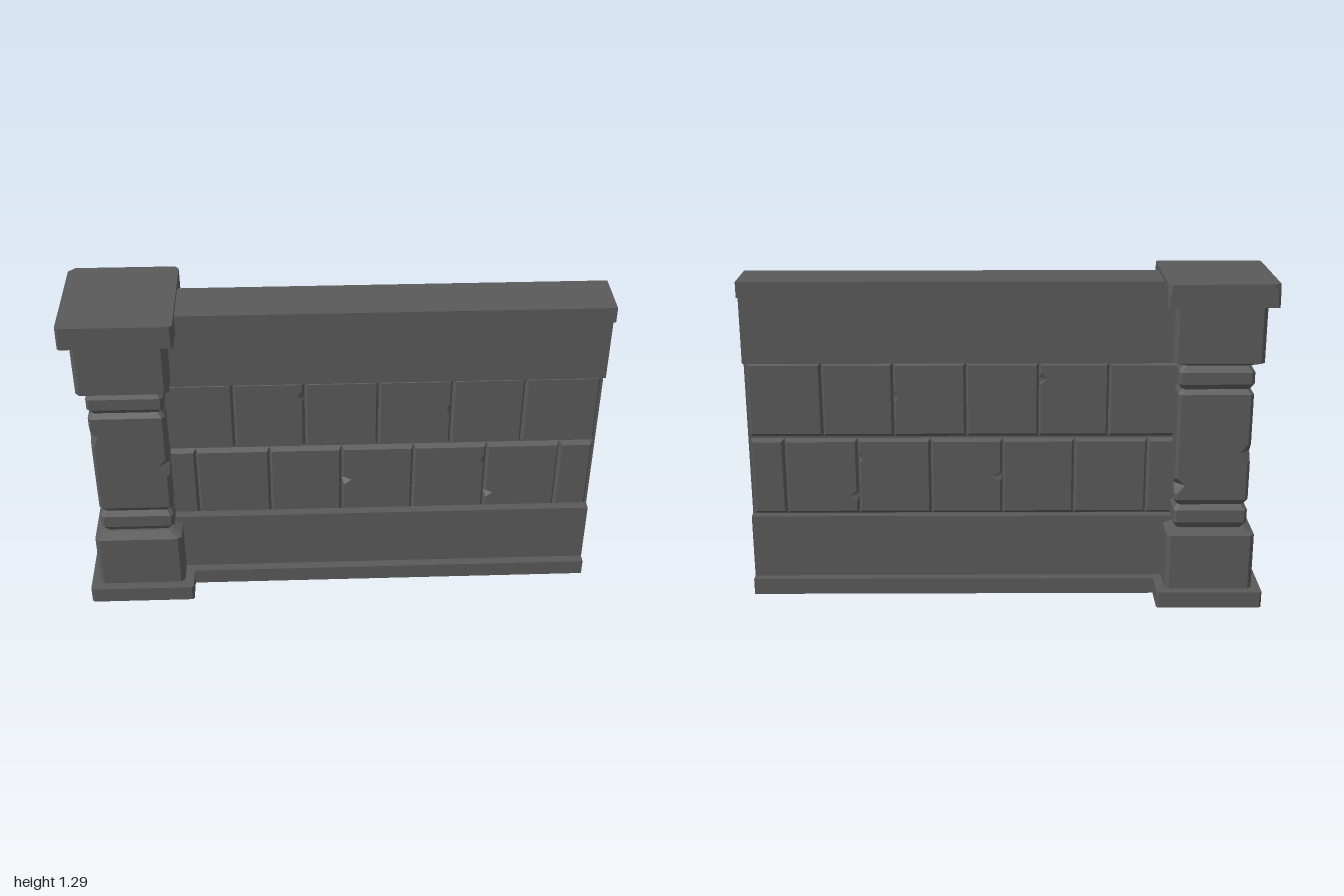
import * as THREE from 'three';

const WALL_Z = 0.018, WALL_LEFT = -0.7, PILLAR_X = -0.795;

// Flat-shaded geometry from a list of triangles (each three Vector3)
function facets(tris) {
  const g = new THREE.BufferGeometry().setFromPoints(tris.flat());
  g.computeVertexNormals();
  return g;
}

// Rectangular rings with cut corners, joined upward and closed at both ends.
// Section: [y, half width, half depth, corner cuts (one or four)]
// Corner order: front right (+x+z), back right, back left, front left
function loft(sections) {
  const rings = sections.map(([y, hx, hz, cut]) => {
    const c = Array.isArray(cut) ? cut : [cut, cut, cut, cut];
    const p = (x, z) => new THREE.Vector3(x, y, z);
    return [
      p(hx - c[0], hz), p(hx, hz - c[0]), p(hx, -hz + c[1]), p(hx - c[1], -hz),
      p(-hx + c[2], -hz), p(-hx, -hz + c[2]), p(-hx, hz - c[3]), p(-hx + c[3], hz),
    ];
  });
  const tris = [];
  for (let r = 0; r + 1 < rings.length; r++) {
    const a = rings[r], b = rings[r + 1];
    for (let i = 0; i < 8; i++) {
      const j = (i + 1) % 8;
      tris.push([a[i], a[j], b[j]], [a[i], b[j], b[i]]);
    }
  }
  const lo = rings[0], hi = rings[rings.length - 1];
  for (let i = 1; i < 7; i++) {
    tris.push([lo[0], lo[i + 1], lo[i]], [hi[0], hi[i], hi[i + 1]]);
  }
  return facets(tris);
}

// Bevelled brick face; chip = [side (-1 left, 1 right), y, depth]; s = 1 front, -1 back
function brick(x0, x1, y0, y1, s, chip) {
  const V = (x, y) => new THREE.Vector2(x, y);
  const b = 0.01, low = 0.016;
  const outer = [V(x0, y0), V(x1, y0), V(x1, y1), V(x0, y1)];
  const inner = [V(x0 + b, y0 + low), V(x1 - b, y0 + low), V(x1 - b, y1 - b), V(x0 + b, y1 - b)];
  if (chip) {
    const [side, y, depth] = chip, h = 0.022;
    const at = side > 0 ? 2 : 4, xo = side > 0 ? x1 : x0, xi = xo - side * b;
    const ys = [y - side * h, y, y + side * h];
    outer.splice(at, 0, ...ys.map(v => V(xo, v)));
    inner.splice(at, 0, V(xi, ys[0]), V(xi - side * depth, y), V(xi, ys[2]));
  }
  const at = (p, z) => new THREE.Vector3(p.x, p.y, WALL_Z + s * z);
  const back = outer.map(p => at(p, 0.03)), front = inner.map(p => at(p, 0.052));
  const tris = THREE.ShapeUtils.triangulateShape(inner, []).map(t => t.map(i => front[i]));
  for (let i = 0; i < back.length; i++) {
    const j = (i + 1) % back.length;
    tris.push([back[i], back[j], front[j]], [back[i], front[j], front[i]]);
  }
  return facets(s > 0 ? tris : tris.map(([p, q, r]) => [p, r, q]));
}

// Hollow wall shell, open at the end and underneath
function wallShell() {
  const half = [
    [0.1, 0], [0.1, 0.065], [0.065, 0.065], [0.065, 0.32], [0.03, 0.32], [0.03, 0.945],
    [0.065, 0.945], [0.065, 1.21], [0.1, 1.21], [0.1, 1.27],
  ];
  const line = [...half, ...half.map(([z, y]) => [-z, y]).reverse()];
  const tris = [];
  for (let i = 0; i + 1 < line.length; i++) {
    const [a, b, c, d] = [[line[i], WALL_LEFT], [line[i], 1], [line[i + 1], 1], [line[i + 1], WALL_LEFT]]
      .map(([[z, y], x]) => new THREE.Vector3(x, y, WALL_Z + z));
    tris.push([a, b, c], [a, c, d]);
  }
  return facets(tris);
}

export function createModel() {
  const model = new THREE.Group();
  model.name = 'wallWithPillar';
  const stone = new THREE.MeshStandardMaterial({ color: 0x5a5a5a, flatShading: true, side: THREE.DoubleSide });
  stone.name = 'dark grey stone';
  const add = (parent, name, geometry) => {
    const mesh = new THREE.Mesh(geometry, stone);
    mesh.name = name;
    parent.add(mesh);
    return mesh;
  };

  // Wall
  add(model, 'wallShell', wallShell());
  const rows = [
    { name: 'upperBrick', y0: 0.643, y1: 0.943, xs: [-0.68, -0.4, -0.13, 0.15, 0.43, 0.705, 0.99],
      chips: { 1: [1, 0.88, 0.02], 3: [1, 0.81, 0.01] } },
    { name: 'lowerBrick', y0: 0.322, y1: 0.635, xs: [-0.69, -0.555, -0.27, 0.01, 0.29, 0.575, 0.86, 0.99],
      chips: { 3: [-1, 0.48, 0.03], 4: [1, 0.56, 0.012], 5: [-1, 0.4, 0.025] } },
  ];
  const bricks = new THREE.Group();
  bricks.name = 'bricks';
  model.add(bricks);
  for (const { name, y0, y1, xs, chips } of rows) {
    for (let i = 0; i + 1 < xs.length; i++) {
      for (const s of [1, -1]) add(bricks, name, brick(xs[i], xs[i + 1], y0, y1, s, chips[i]));
    }
  }

  // Pillar
  const pillar = new THREE.Group();
  pillar.name = 'pillar';
  pillar.position.x = PILLAR_X;
  model.add(pillar);
  const c = 0.012;
  add(pillar, 'plinth', loft([[0, 0.205, 0.217, 0.008], [0.065, 0.205, 0.217, 0.008]]));
  add(pillar, 'lowerBlock', loft([
    [0.06, 0.17, 0.181, 0.016], [0.289, 0.17, 0.181, 0.016], [0.304, 0.135, 0.14, 0.016],
  ]));
  add(pillar, 'lowerRing', loft([
    [0.3, 0.124, 0.127, c], [0.33, 0.143, 0.146, c], [0.38, 0.143, 0.146, c], [0.402, 0.128, 0.131, c],
  ]));
  // Shaft with a chip knocked out of each corner
  add(pillar, 'shaft', loft([
    [0.4, 0.128, 0.131, c], [0.424, 0.143, 0.146, c],
    [0.45, 0.143, 0.146, c], [0.485, 0.143, 0.146, [c, 0.04, c, c]], [0.51, 0.143, 0.146, c],
    [0.575, 0.143, 0.146, c], [0.615, 0.143, 0.146, [0.05, c, 0.04, c]], [0.65, 0.143, 0.146, c],
    [0.72, 0.143, 0.146, c], [0.765, 0.143, 0.146, [c, c, c, 0.03]], [0.81, 0.143, 0.146, c],
    [0.848, 0.143, 0.146, c], [0.868, 0.128, 0.131, c],
  ]));
  add(pillar, 'upperRing', loft([
    [0.866, 0.128, 0.131, c], [0.889, 0.143, 0.146, c], [0.935, 0.143, 0.146, c], [0.966, 0.124, 0.127, c],
  ]));
  add(pillar, 'upperBlock', loft([
    [0.963, 0.135, 0.14, 0.016], [0.98, 0.17, 0.181, 0.016], [1.205, 0.17, 0.181, 0.016],
  ]));
  add(pillar, 'capstone', loft([
    [1.2, 0.205, 0.217, 0.008], [1.25, 0.205, 0.217, 0.01], [1.287, 0.205, 0.217, [0.012, 0.016, 0.025, 0.012]],
  ]));
  return model;
}
